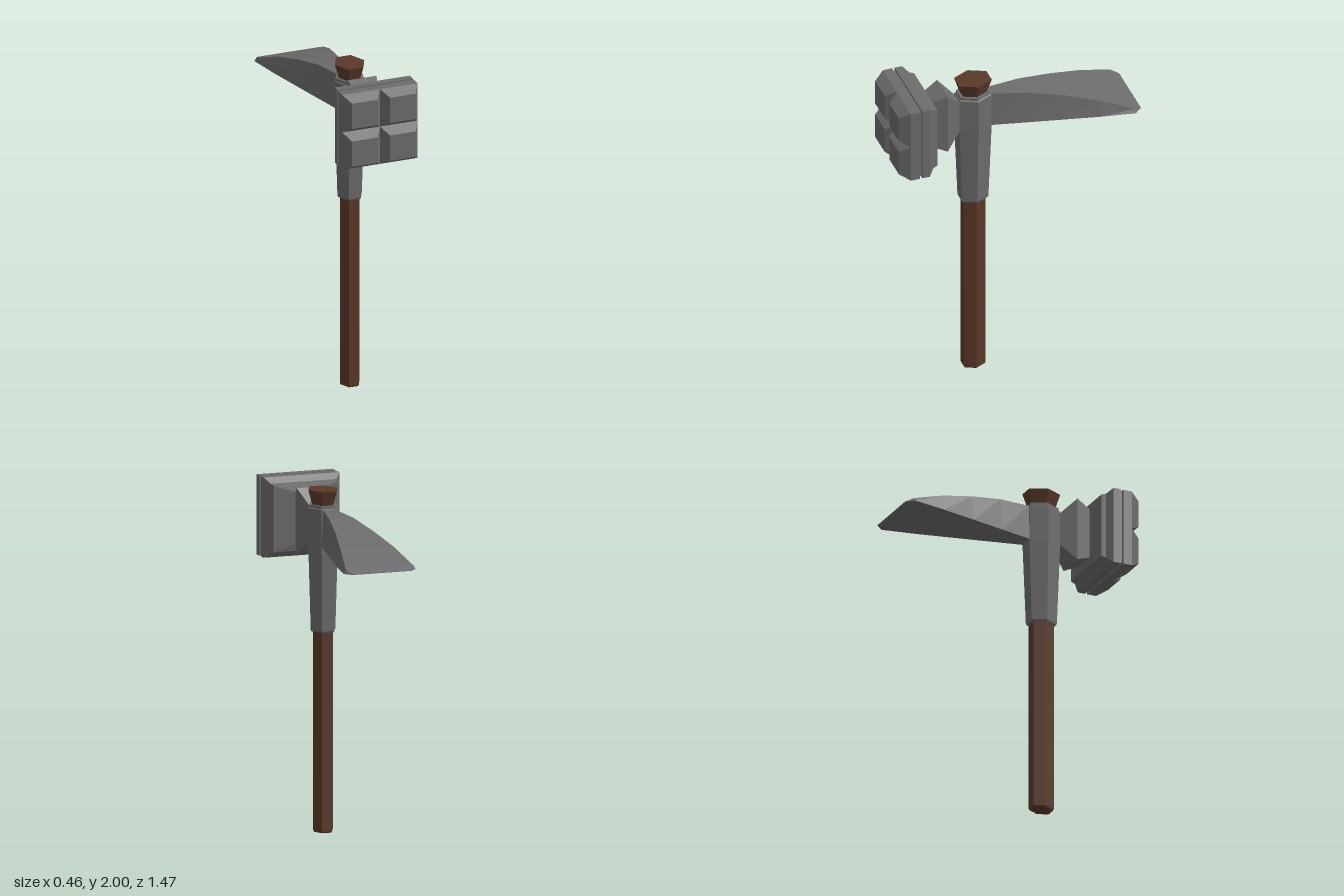
import * as THREE from 'three';

const CZ = 0.215; // handle axis
const HY = 1.767; // hammer head height

// Skin a closed solid through equal-length rings of [x, y, z] points, faceted
function loft(rings) {
  const pos = [];
  const tri = (a, b, c) => pos.push(...a, ...b, ...c);
  const n = rings[0].length;
  for (let r = 0; r < rings.length - 1; r++) {
    const a = rings[r], b = rings[r + 1];
    for (let i = 0; i < n; i++) {
      const j = (i + 1) % n;
      tri(a[i], a[j], b[j]);
      tri(a[i], b[j], b[i]);
    }
  }
  const first = rings[0], last = rings[rings.length - 1];
  for (let i = 1; i < n - 1; i++) {
    tri(first[0], first[i + 1], first[i]);
    tri(last[0], last[i], last[i + 1]);
  }
  // Turn the solid outward when its signed volume is negative
  let volume = 0;
  const v = (k) => new THREE.Vector3(pos[k], pos[k + 1], pos[k + 2]);
  for (let k = 0; k < pos.length; k += 9) volume += v(k).dot(v(k + 3).cross(v(k + 6)));
  if (volume < 0) {
    for (let k = 0; k < pos.length; k += 9) {
      for (let c = 0; c < 3; c++) {
        [pos[k + 3 + c], pos[k + 6 + c]] = [pos[k + 6 + c], pos[k + 3 + c]];
      }
    }
  }
  const g = new THREE.BufferGeometry();
  g.setAttribute('position', new THREE.Float32BufferAttribute(pos, 3));
  g.computeVertexNormals();
  return g;
}

// Horizontal hexagon with points on the x axis
const hex = ([y, hx, hz]) => [
  [hx, y, CZ], [hx / 2, y, CZ + hz], [-hx / 2, y, CZ + hz],
  [-hx, y, CZ], [-hx / 2, y, CZ - hz], [hx / 2, y, CZ - hz],
];

// Upright rectangle at depth z
const rect = (z, x0, x1, y0, y1) => [[x0, y0, z], [x1, y0, z], [x1, y1, z], [x0, y1, z]];

export function createModel() {
  const model = new THREE.Group();
  const steel = new THREE.MeshStandardMaterial({ color: 0x6c6c6c });
  steel.name = 'grey steel';
  const wood = new THREE.MeshStandardMaterial({ color: 0x5a3929 });
  wood.name = 'brown wood';

  const add = (name, rings, material, parent = model) => {
    const mesh = new THREE.Mesh(loft(rings), material);
    mesh.name = name;
    parent.add(mesh);
  };

  // Wooden shaft and the flared end above the socket
  add('handle', [[0, 0.055, 0.06], [0.01, 0.06, 0.065], [1.2, 0.06, 0.065]].map(hex), wood);
  add('handleTop', [[1.87, 0.066, 0.072], [1.895, 0.066, 0.072], [1.98, 0.09, 0.098]].map(hex), wood);

  // Tapered socket with a stepped rim
  add('socket', [
    [1.16, 0.07, 0.075], [1.17, 0.075, 0.08], [1.66, 0.09, 0.097],
    [1.875, 0.09, 0.097], [1.88, 0.083, 0.088], [1.895, 0.083, 0.088],
  ].map(hex), steel);

  // Adze blade: z, bottom half width, top half width, top height
  add('blade', [
    [0.14, 0.04, 0.032, 1.877], [0.118, 0.045, 0.036, 1.875], [-0.08, 0.09, 0.073, 1.86],
    [-0.28, 0.135, 0.113, 1.82], [-0.49, 0.182, 0.16, 1.762],
    [-0.69, 0.219, 0.205, 1.686], [-0.735, 0.18, 0.178, 1.667],
  ].map(([z, wb, wt, y]) => [[-wb, 1.664, z], [wb, 1.664, z], [wt, y, z], [-wt, y, z]]), steel);

  // Hammer neck: z, half width, half height
  const block = ([z, hx, hy]) => rect(z, -hx, hx, HY - hy, HY + hy);
  add('neck', [[0.29, 0.033, 0.07], [0.313, 0.045, 0.1], [0.4, 0.09, 0.19], [0.5, 0.06, 0.147]].map(block), steel);

  // Hammer head: back plate, inset groove and four bevelled pads
  const head = new THREE.Group();
  head.name = 'hammerHead';
  model.add(head);
  add('backPlate', [
    [0.49, 0.06, 0.147], [0.5, 0.193, 0.193], [0.527, 0.2, 0.2], [0.56, 0.23, 0.232], [0.605, 0.23, 0.232],
  ].map(block), steel, head);
  add('groove', [[0.6, 0.217, 0.219], [0.625, 0.217, 0.219]].map(block), steel, head);
  for (const sx of [1, -1]) {
    for (const sy of [1, -1]) {
      const pad = (z, a, b) => rect(z, sx * a, sx * b, HY + sy * a, HY + sy * b);
      add('strikingPad', [pad(0.62, 0, 0.231), pad(0.675, 0, 0.231), pad(0.735, 0.038, 0.195)], steel, head);
    }
  }
  return model;
}
